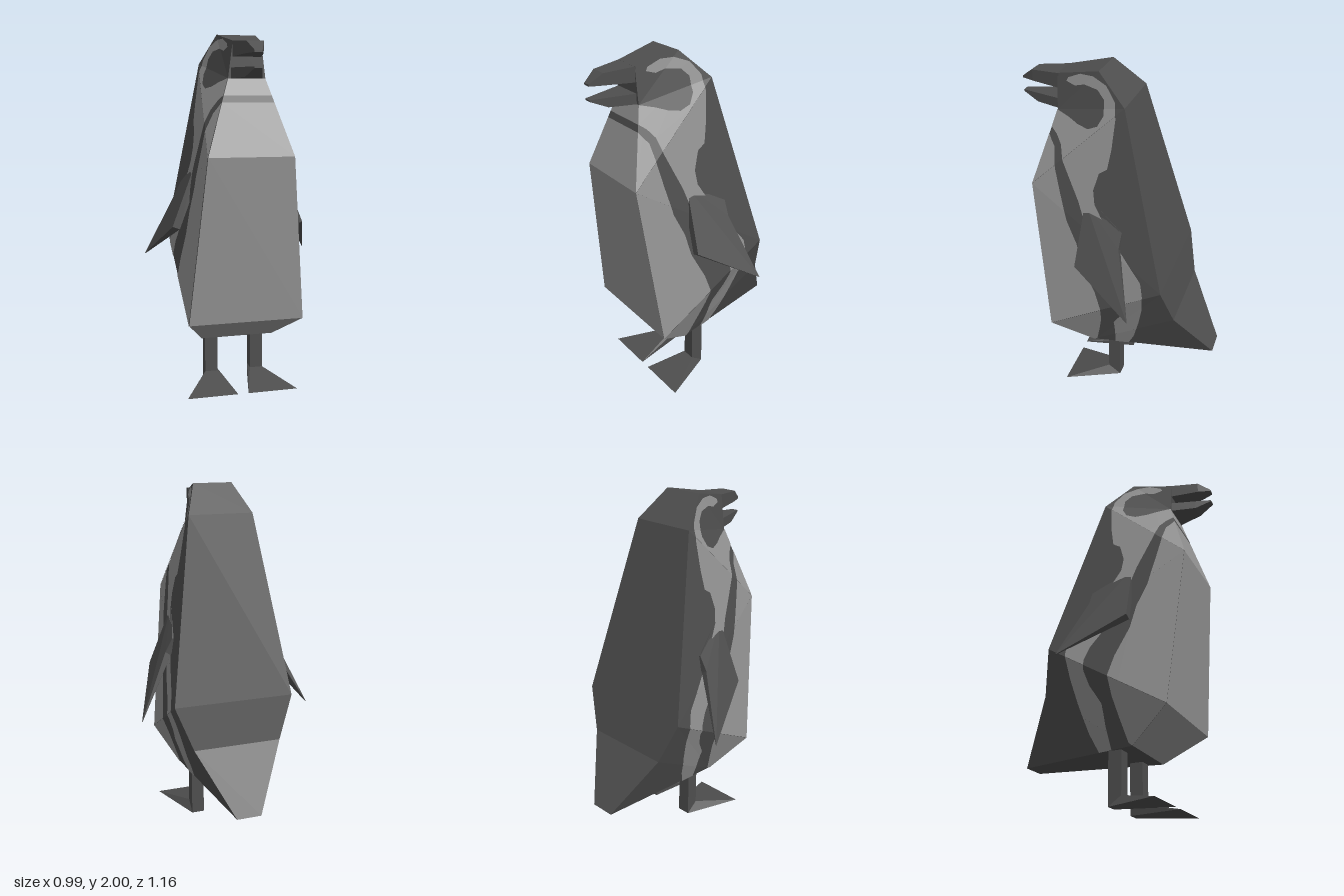
import * as THREE from 'three';

const V = (x, y, z) => new THREE.Vector3(x, y, z);
const flip = (p) => V(-p.x, p.y, p.z);

// Flat-faced geometry from convex polygons, each turned to face away from the centre.
function faces(polys, centre) {
  const out = [];
  for (const p of polys) {
    for (let i = 1; i < p.length - 1; i++) {
      let [a, b, c] = [p[0], p[i], p[i + 1]];
      const n = b.clone().sub(a).cross(c.clone().sub(a));
      if (n.lengthSq() < 1e-14) continue;
      const mid = a.clone().add(b).add(c).divideScalar(3);
      if (n.dot(mid.sub(centre)) < 0) [b, c] = [c, b];
      out.push(...a.toArray(), ...b.toArray(), ...c.toArray());
    }
  }
  const g = new THREE.BufferGeometry();
  g.setAttribute('position', new THREE.Float32BufferAttribute(out, 3));
  g.computeVertexNormals();
  return g;
}

// Closed solid through rings with equal point counts.
function loft(rings) {
  const all = rings.flat();
  const centre = all.reduce((s, p) => s.add(p), V(0, 0, 0)).divideScalar(all.length);
  const polys = [rings[0], rings[rings.length - 1]];
  for (let r = 0; r < rings.length - 1; r++) {
    const a = rings[r], b = rings[r + 1];
    a.forEach((p, i) => {
      const j = (i + 1) % a.length;
      polys.push([p, a[j], b[j], b[i]]);
    });
  }
  return faces(polys, centre);
}

// Cuts a convex polygon in (z, y) to a triangle.
function clip(poly, tri) {
  const cross = (a, b, p) => (b.x - a.x) * (p.y - a.y) - (b.y - a.y) * (p.x - a.x);
  const sign = Math.sign(cross(tri[0], tri[1], tri[2]));
  for (let i = 0; i < 3; i++) {
    const a = tri[i], b = tri[(i + 1) % 3], out = [];
    poly.forEach((p, k) => {
      const q = poly[(k + 1) % poly.length];
      const dp = sign * cross(a, b, p), dq = sign * cross(a, b, q);
      if (dp >= 0) out.push(p);
      if (dp * dq < 0) out.push(p.clone().lerp(q, dp / (dp - dq)));
    });
    poly = out;
  }
  return poly;
}

// Lays a (z, y) outline onto side triangles as a thin skin.
function paint(outline, panels) {
  const pts = outline.map(([z, y]) => new THREE.Vector2(z, y));
  const polys = [];
  for (const t of THREE.ShapeUtils.triangulateShape(pts, [])) {
    for (const panel of panels) {
      const piece = clip(t.map((i) => pts[i]), panel.map((p) => new THREE.Vector2(p.z, p.y)));
      if (piece.length < 3) continue;
      const [a, b, c] = panel;
      const n = b.clone().sub(a).cross(c.clone().sub(a)).normalize();
      if (n.x < 0) n.negate();
      polys.push(piece.map((p) => {
        const x = a.x - (n.y * (p.y - a.y) + n.z * (p.x - a.z)) / n.x;
        return V(x, p.y, p.x).addScaledVector(n, 0.003);
      }));
    }
  }
  return polys;
}

export function createModel() {
  const model = new THREE.Group();
  model.name = 'penguin';
  const dark = new THREE.MeshStandardMaterial({ color: 0x4e4e4e });
  dark.name = 'charcoal';
  const light = new THREE.MeshStandardMaterial({ color: 0x949494 });
  light.name = 'pale grey';
  const add = (name, geometry, material) => {
    const m = new THREE.Mesh(geometry, material);
    m.name = name;
    model.add(m);
  };
  const centre = V(0, 1, 0);

  // Body corners on the left half
  const belly = V(0.32, 0.45, 0.375), chest = V(0.23, 1.36, 0.47), throat = V(0.1, 1.76, 0.35);
  const brow = V(0.075, 1.95, 0.35), crown = V(0.11, 2, 0.11), nape = V(0.18, 1.85, -0.05);
  const hip = V(0.34, 0.86, -0.31), rump = V(0.25, 0.62, -0.37);
  const tail = V(0.07, 0.28, -0.58), under = V(0.21, 0.29, 0.14);
  const span = (a, b) => [a, b, flip(b), flip(a)];

  // Back, tail, underside and face
  add('back', faces([span(brow, crown), span(crown, nape), span(nape, hip), span(hip, rump), span(rump, tail)], centre), dark);
  add('underside', faces([span(tail, under)], centre), dark);
  add('face', faces([span(throat, brow)], centre), dark);

  // Front with the collar stripe across the throat
  const collarLow = chest.clone().lerp(throat, 0.69), collarHigh = chest.clone().lerp(throat, 0.78);
  add('bellyFront', faces([span(under, belly), span(belly, chest), span(chest, collarLow)], centre), light);
  add('collar', faces([span(collarLow, collarHigh)], centre), dark);
  add('throat', faces([span(collarHigh, throat)], centre), light);

  // Sides and their pale markings
  const panels = [
    [belly, under, hip], [belly, hip, chest], [chest, hip, nape], [chest, nape, throat],
    [throat, nape, crown], [throat, crown, brow], [under, rump, hip], [under, tail, rump],
  ];
  const bellySide = paint([
    [0.14, 0.29], [0.375, 0.45], [0.47, 1.36], [0.387, 1.636], [0.37, 1.61], [0.345, 1.58], [0.33, 1.47],
    [0.3, 1.34], [0.26, 1.18], [0.2, 1.05], [0.165, 0.915], [0.085, 0.757], [0.05, 0.65], [0.06, 0.545],
    [0.085, 0.44], [0.12, 0.307],
  ], panels);
  const band = paint([
    [0.35, 1.76], [0.376, 1.672], [0.34, 1.645], [0.305, 1.6], [0.285, 1.52], [0.24, 1.42], [0.19, 1.31],
    [0.16, 1.22], [0.09, 1.08], [0.02, 0.93], [-0.06, 0.83], [-0.09, 0.76], [-0.095, 0.7], [-0.07, 0.62],
    [-0.01, 0.52], [-0.005, 0.41], [0.01, 0.285], [-0.07, 0.285], [-0.115, 0.386], [-0.16, 0.545],
    [-0.19, 0.68], [-0.205, 0.81], [-0.19, 0.9], [-0.12, 0.99], [0, 1.15], [0.06, 1.25], [0.095, 1.31],
    [0.105, 1.39], [0.075, 1.49], [0.03, 1.52], [0.01, 1.63], [-0.005, 1.79], [0.005, 1.87], [0.06, 1.94],
    [0.14, 1.97], [0.215, 1.97], [0.285, 1.94], [0.295, 1.92], [0.245, 1.905], [0.19, 1.92], [0.11, 1.91],
    [0.07, 1.87], [0.065, 1.79], [0.095, 1.735], [0.15, 1.71], [0.215, 1.72], [0.27, 1.74],
  ], panels);

  // Upper and lower beak
  const section = (hw, y0, y1, z) => [V(-hw, y0, z), V(hw, y0, z), V(hw, y1, z), V(-hw, y1, z)];
  add('upperBeak', loft([section(0.078, 1.87, 1.95, 0.345), section(0.045, 1.877, 1.938, 0.51), section(0.02, 1.878, 1.888, 0.58)]), dark);
  add('lowerBeak', loft([section(0.085, 1.76, 1.815, 0.345), section(0.045, 1.763, 1.812, 0.49), section(0.02, 1.802, 1.81, 0.58)]), dark);

  // Paired parts
  const flipperOuter = [V(0.24, 1.31, 0.155), V(0.375, 0.96, 0.18), V(0.497, 0.74, -0.17), V(0.33, 1.1, -0.065), V(0.29, 1.18, -0.07), V(0.255, 1.31, 0.09)];
  const flipperInner = [V(0.2, 1.29, 0.155), V(0.335, 0.945, 0.18), V(0.493, 0.74, -0.168), V(0.3, 1.08, -0.065), V(0.25, 1.17, -0.07), V(0.21, 1.29, 0.09)];
  const square = (y) => [V(0.1, y, -0.015), V(0.175, y, -0.015), V(0.175, y, 0.06), V(0.1, y, 0.06)];
  const sole = [V(0.1, 0, -0.015), V(0.175, 0, -0.015), V(0.32, 0, 0.3), V(0.03, 0, 0.3)];
  for (const side of ['left', 'right']) {
    const on = (ring) => (side === 'left' ? ring : ring.map(flip));
    add(side + 'Side', faces(panels.map(on), centre), dark);
    add(side + 'BellySide', faces(bellySide.map(on), centre), light);
    add(side + 'PaleBand', faces(band.map(on), centre), light);
    add(side + 'Flipper', loft([on(flipperOuter), on(flipperInner)]), dark);
    add(side + 'Leg', loft([on(square(0.05)), on(square(0.32))]), dark);
    add(side + 'Foot', loft([on(sole), on(square(0.053))]), dark);
  }
  return model;
}
